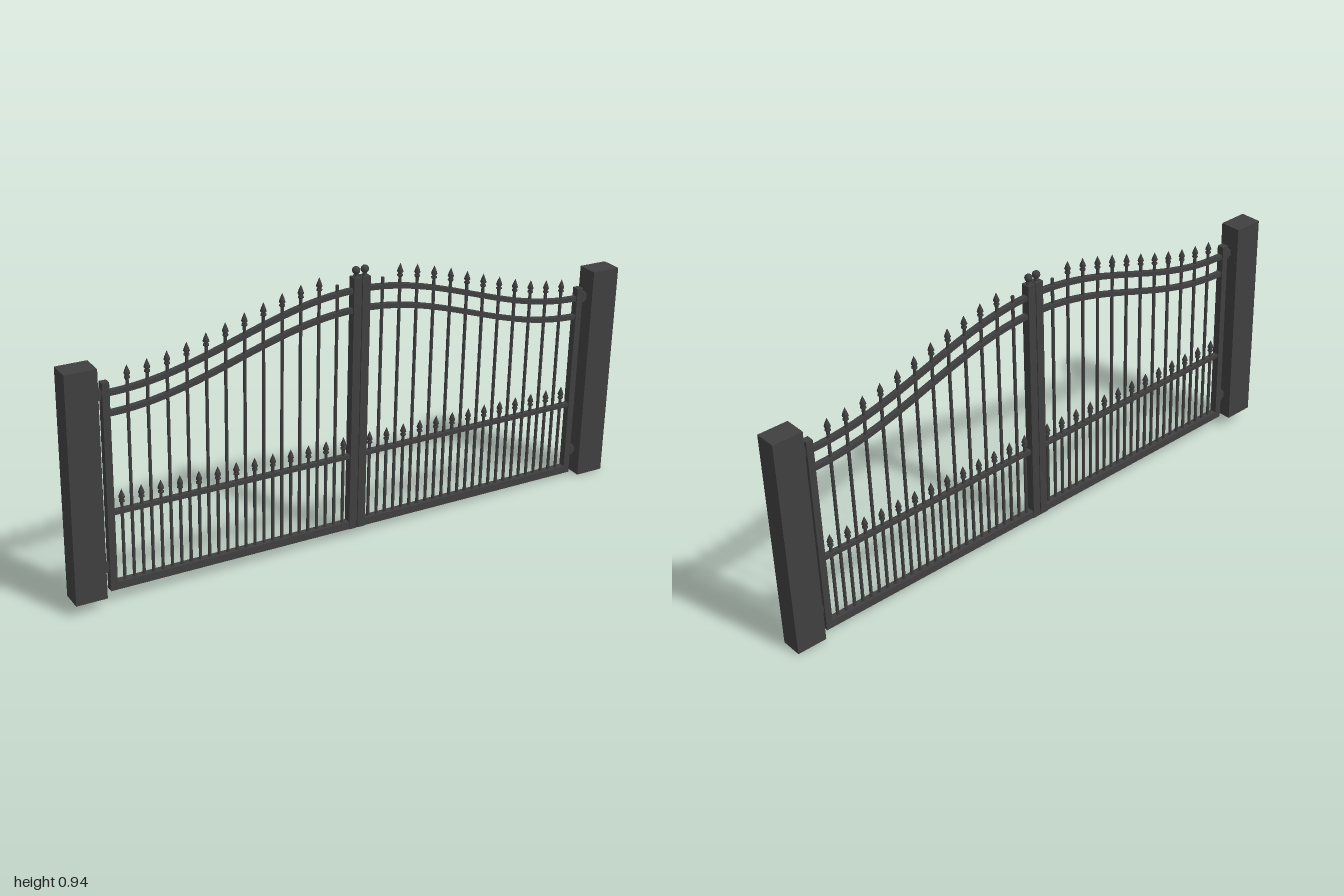
import * as THREE from 'three';

const material = new THREE.MeshStandardMaterial({ color: 0x404040 });

function add(parent, name, geometry, x = 0, y = 0, z = 0) {
  const mesh = new THREE.Mesh(geometry, material);
  mesh.name = name;
  mesh.position.set(x, y, z);
  parent.add(mesh);
  return mesh;
}

// box given by its centre x and its bottom and top
function post(parent, name, x, y0, y1, width, depth) {
  return add(parent, name, new THREE.BoxGeometry(width, y1 - y0, depth), x, (y0 + y1) / 2);
}

// height of the upper arched rail, high at the middle and low at the hinges
const archHeight = (x) => 0.66 + 0.0885 * (1 + Math.cos((Math.PI * x) / 0.85));

// rail that follows the arch, lowered by drop
function archedRail(drop) {
  const x0 = 0.02, x1 = 0.855, n = 40, half = 0.008;
  const top = [], bottom = [];
  for (let i = 0; i <= n; i++) {
    const x = x0 + ((x1 - x0) * i) / n;
    const y = archHeight(x) - drop;
    top.push(new THREE.Vector2(x, y + half));
    bottom.push(new THREE.Vector2(x, y - half));
  }
  const shape = new THREE.Shape([...bottom, ...top.reverse()]);
  return new THREE.ExtrudeGeometry(shape, { depth: 0.018, bevelEnabled: false }).translate(0, 0, -0.009);
}

// round bar from the bottom rail up to y
function bar(parent, name, x, y) {
  add(parent, name, new THREE.CylinderGeometry(0.0055, 0.0055, y - 0.02, 8), x, (y + 0.02) / 2);
}

// turned spear point with a collar, base at y = 0
const spearGeometry = new THREE.LatheGeometry(
  [[0.0055, 0], [0.0095, 0.003], [0.0095, 0.007], [0.0055, 0.01],
    [0.0105, 0.017], [0.007, 0.028], [0, 0.045]].map(([r, y]) => new THREE.Vector2(r, y)), 8);

function createLeaf(side) {
  const leaf = new THREE.Group();
  leaf.name = side > 0 ? 'leftLeaf' : 'rightLeaf';

  // frame
  post(leaf, 'centreStile', side * 0.0155, 0.006, 0.88, 0.028, 0.03);
  post(leaf, 'hingeStile', side * 0.856, 0.006, 0.697, 0.023, 0.025);
  post(leaf, 'bottomRail', side * 0.44, 0.006, 0.032, 0.83, 0.025);
  post(leaf, 'middleRail', side * 0.44, 0.261, 0.275, 0.83, 0.018);
  for (const drop of [0, 0.065]) {
    const geometry = archedRail(drop);
    if (side < 0) geometry.rotateY(Math.PI);
    add(leaf, 'archedRail', geometry);
  }

  // ball finial on the centre stile
  add(leaf, 'finialNeck', new THREE.CylinderGeometry(0.006, 0.009, 0.016, 12), side * 0.0155, 0.886);
  add(leaf, 'finialBall', new THREE.SphereGeometry(0.013, 16, 12), side * 0.0155, 0.901);

  // tall bars; the one beside the stile has no spear
  const pitch = 0.0639;
  for (let i = 0; i < 12; i++) {
    const x = side * (0.081 + pitch * i);
    const y = archHeight(x) + 0.03;
    bar(leaf, 'tallBar', x, y);
    if (i > 0) add(leaf, 'tallSpear', spearGeometry, x, y);
  }

  // short bars halfway between the tall ones
  for (let i = 0; i < 13; i++) {
    const x = side * (0.049 + pitch * i);
    bar(leaf, 'shortBar', x, 0.295);
    add(leaf, 'shortSpear', spearGeometry, x, 0.295);
  }

  // hinges between the stile and the post
  for (const y of [0.088, 0.661]) {
    add(leaf, 'hingeArm', new THREE.BoxGeometry(0.045, 0.022, 0.014), side * 0.877, y);
    add(leaf, 'hingeBarrel', new THREE.CylinderGeometry(0.009, 0.009, 0.034, 12), side * 0.876, y);
  }
  return leaf;
}

export function createModel() {
  const model = new THREE.Group();
  model.name = 'gate';
  const body = new THREE.Group();
  body.name = 'gateBody';
  for (const side of [-1, 1]) {
    post(body, 'gatePost', side * 0.94, 0, 0.757, 0.102, 0.074);
    body.add(createLeaf(side));
  }
  // the whole gate leans slightly
  body.rotation.set(0.005, 0, -0.021);
  body.position.set(-0.008, 0.021, -0.002);
  model.add(body);
  return model;
}
